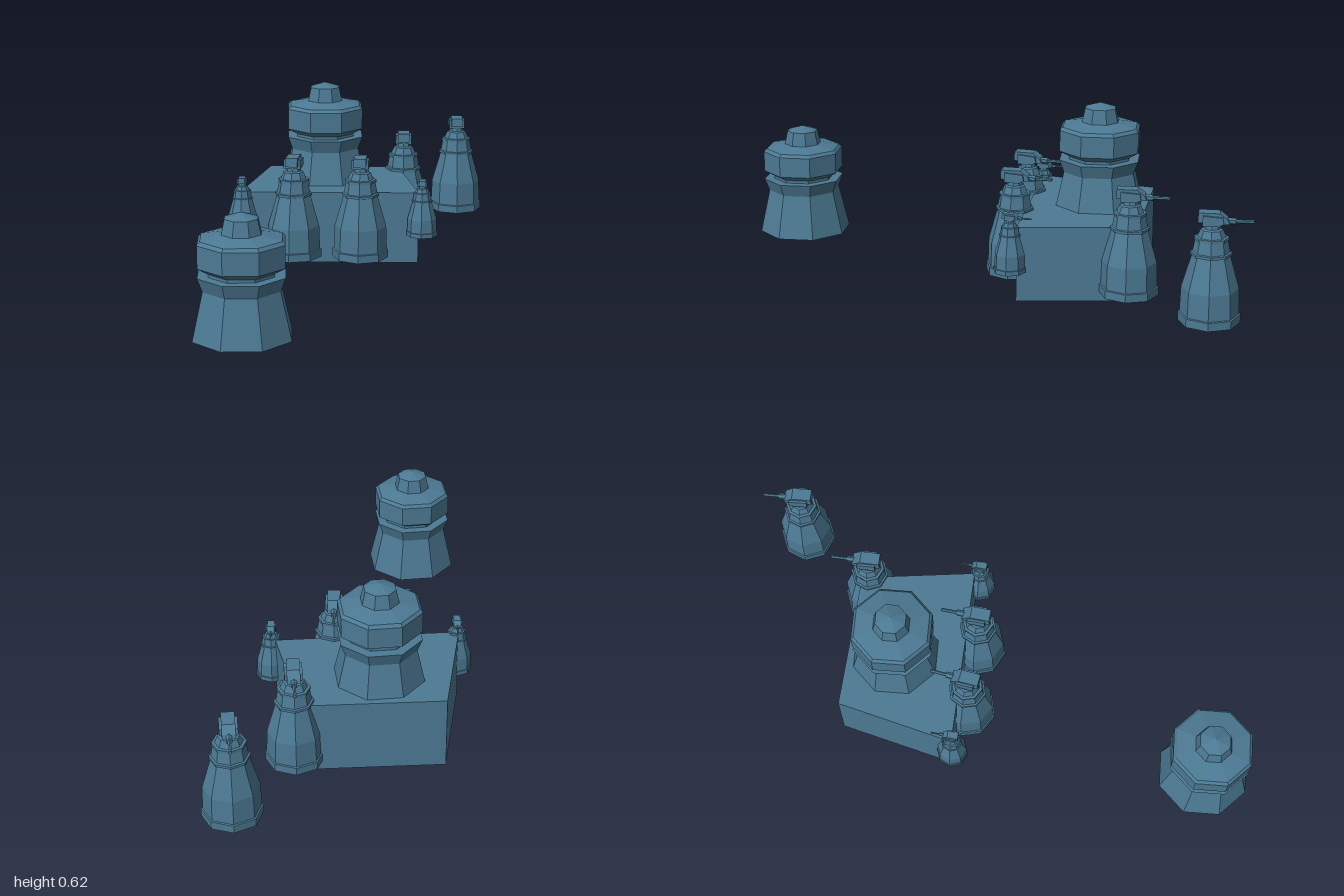
import * as THREE from 'three';

const steel = new THREE.MeshStandardMaterial({ color: 0x4c7a94, flatShading: true, side: THREE.DoubleSide });

function part(name, geometry, parent) {
  const mesh = new THREE.Mesh(geometry, steel);
  mesh.name = name;
  parent.add(mesh);
  return mesh;
}

// Eight-sided lathe from [radius, height] pairs, bottom to top
const octagon = (profile) =>
  new THREE.LatheGeometry(profile.map(([r, y]) => new THREE.Vector2(r, y)), 8);

// Extrude a [forward, up] side profile to a width; forward is -z
function slab(profile, width) {
  const shape = new THREE.Shape(profile.map(([u, v]) => new THREE.Vector2(u, v)));
  const g = new THREE.ExtrudeGeometry(shape, { depth: width, bevelEnabled: false });
  g.translate(0, 0, -width / 2);
  g.rotateY(Math.PI / 2);
  return g;
}

// Large domed tower: flared foot, recessed neck, drum and cupola
function bunkerTower(name) {
  const g = new THREE.Group();
  g.name = name;
  part('towerFoot', octagon([
    [0, 0], [0.168, 0], [0.131, 0.158], [0.148, 0.203], [0.112, 0.203], [0, 0.203],
  ]), g);
  part('towerNeck', octagon([[0.112, 0.2], [0.112, 0.216]]), g);
  part('towerDrum', octagon([
    [0, 0.213], [0.112, 0.213], [0.147, 0.234], [0.147, 0.308],
    [0.137, 0.319], [0.067, 0.333], [0, 0.333],
  ]), g);
  part('towerCupola', octagon([[0.067, 0.333], [0.056, 0.382], [0, 0.4]]), g);
  return g;
}

// Stepped gun turret with a swivelling head
function gunTurret(name) {
  const g = new THREE.Group();
  g.name = name;
  part('turretBody', octagon([
    [0, 0], [0.101, 0], [0.101, 0.028], [0.096, 0.03], [0.093, 0.115],
    [0.061, 0.227], [0.067, 0.227], [0.067, 0.236], [0.06, 0.238],
    [0.053, 0.277], [0.056, 0.277], [0.056, 0.287], [0.046, 0.288],
    [0.036, 0.312], [0.028, 0.316], [0.024, 0.336], [0, 0.336],
  ]), g);
  // Head: broad cheeks with a narrower, longer raised breech
  part('gunCheeks', slab([
    [-0.03, 0.328], [0.022, 0.328], [0.038, 0.338], [0.034, 0.358], [-0.03, 0.362],
  ], 0.06), g);
  part('gunBreech', slab([
    [-0.046, 0.338], [0.03, 0.332], [0.056, 0.336], [0.05, 0.35], [0.024, 0.37], [-0.044, 0.37],
  ], 0.044), g);
  const barrel = (label, r, from, to) => {
    const c = new THREE.CylinderGeometry(r, r, to - from, 6);
    c.rotateX(Math.PI / 2);
    part(label, c, g).position.set(0, 0.341, -(from + to) / 2);
  };
  barrel('barrelSleeve', 0.011, 0.04, 0.075);
  barrel('gunBarrel', 0.006, 0.07, 0.132);
  return g;
}

export function createModel() {
  const model = new THREE.Group();
  model.name = 'fortress';

  // Four-cornered foundation block
  const outline = [[-0.34, -0.03], [0.285, -0.19], [0.12, -0.565], [-0.355, -0.455]];
  const plan = new THREE.Shape(outline.map(([x, z]) => new THREE.Vector2(x, -z)));
  const block = new THREE.ExtrudeGeometry(plan, { depth: 0.262, bevelEnabled: false });
  block.rotateX(-Math.PI / 2);
  part('foundation', block, model);

  // Place an assembly: position, yaw in degrees, scale
  const place = (g, x, y, z, yaw, s = 1) => {
    g.position.set(x, y, z);
    g.rotation.y = THREE.MathUtils.degToRad(yaw);
    g.scale.setScalar(s);
    model.add(g);
  };

  place(bunkerTower('mainTower'), -0.107, 0.223, -0.337, -5.5);
  place(bunkerTower('outlyingTower'), -0.047, 0.031, 0.83, -5.5);

  // Turrets: name, x, y, z, yaw, scale
  [
    ['outlyingTurret', 0.284, 0.035, -0.872, 16, 1],
    ['backTurret', 0.145, 0.035, -0.545, 14, 1],
    ['frontRightTurret', -0.143, 0.035, -0.048, 6, 1],
    ['frontLeftTurret', 0.092, 0.035, -0.1, 10, 1],
    ['rightCornerTurret', -0.332, 0.112, -0.032, 11, 0.555],
    ['leftCornerTurret', 0.302, 0.11, -0.175, 10, 0.555],
  ].forEach(([name, ...at]) => place(gunTurret(name), ...at));

  return model;
}
